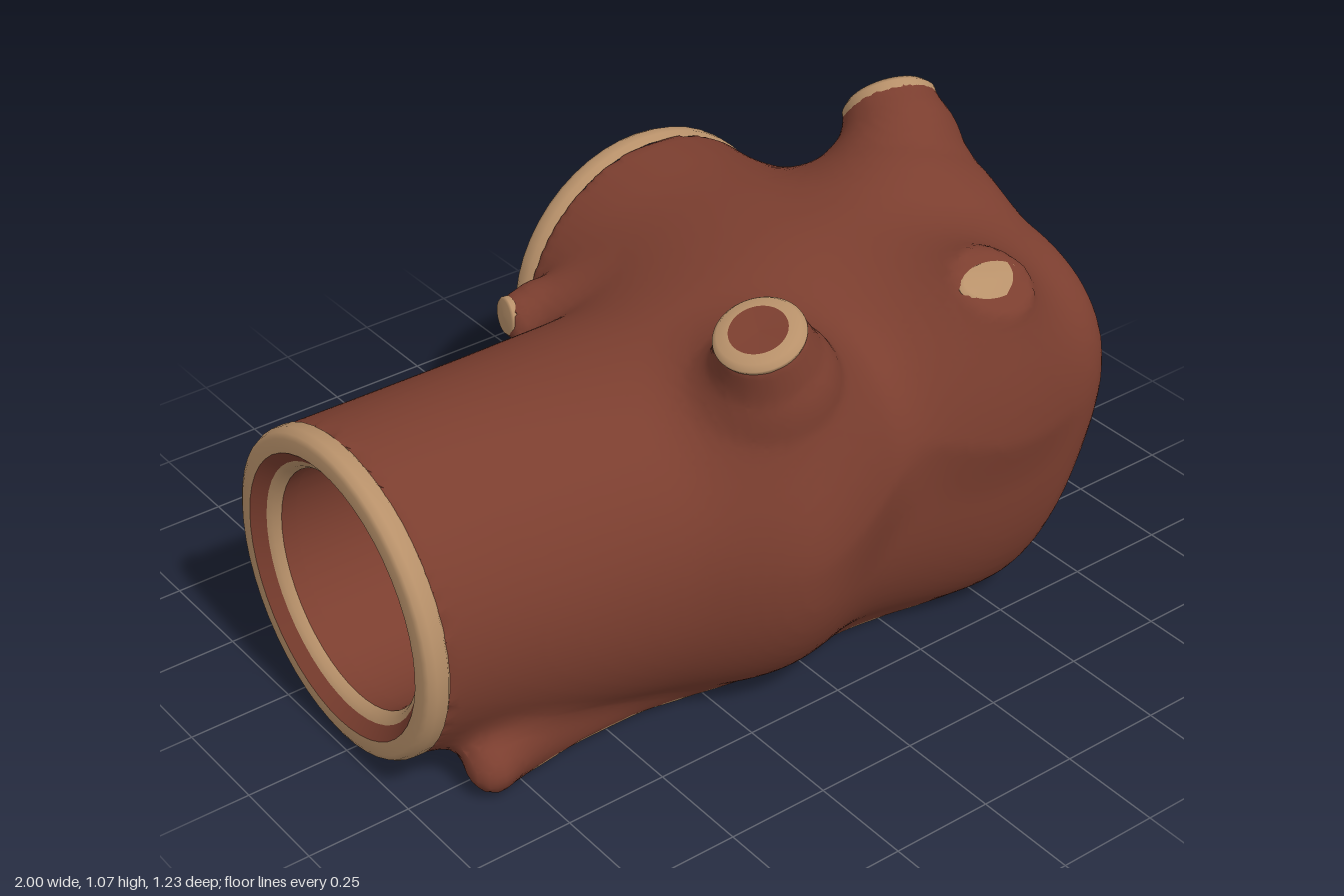
import * as THREE from 'three';
import { toCreasedNormals } from 'three/addons/utils/BufferGeometryUtils.js';

const bark = new THREE.MeshStandardMaterial({ color: 0x7b3e2f });
bark.name = 'bark';
const cutWood = new THREE.MeshStandardMaterial({ color: 0xb8916a });
cutWood.name = 'cutWood';

const FLOOR = 0.003;
const V = (x, y, z) => new THREE.Vector3(x, y, z);

// Smooth minimum and maximum used to blend forms into one another
const smin = (a, b, k) => Math.min(a, b) - (Math.max(k - Math.abs(a - b), 0) ** 2) / (4 * k);
const smax = (a, b, k) => -smin(-a, -b, k);

// Trunk sections: x -> back z, front z, top y, bottom y, squareness
const sections = [
  [-0.96, -0.398, 0.358, 0.795, 0.025, 2],
  [-0.75, -0.39, 0.385, 0.805, 0.0, 2],
  [-0.4, -0.39, 0.48, 0.815, -0.03, 2.1],
  [-0.15, -0.41, 0.6, 0.83, -0.04, 2.1],
  [0.15, -0.41, 0.525, 0.86, -0.05, 2.4],
  [0.45, -0.41, 0.575, 0.88, -0.05, 2.7],
  [0.68, -0.4, 0.555, 0.88, -0.05, 2.7],
];
const spline = new THREE.CubicInterpolant(
  sections.map((s) => s[0]), sections.flatMap((s) => s.slice(1)), 5);

function trunkField(p) {
  const [z0, z1, top, bottom, n] = spline.evaluate(THREE.MathUtils.clamp(p.x, -0.96, 0.68));
  const h = (top - bottom) / 2, w = (z1 - z0) / 2;
  // the front leans out towards the top
  const z = p.z - 0.08 * (p.y - 0.42) * THREE.MathUtils.smoothstep(p.x, -0.7, -0.2) * Math.max(0, p.z) * 2;
  const dy = Math.abs(p.y - (top + bottom) / 2) / h, dz = Math.abs(z - (z0 + z1) / 2) / w;
  const side = ((dy ** n + dz ** n) ** (1 / n) - 1) * Math.min(h, w);
  // closed end, tucked in at the lower front corner
  const wall = p.x - 0.785 + 0.7 * Math.max(0, p.z) * Math.max(0, 0.8 - p.y) ** 2;
  return smax(side, wall, 0.1);
}

// Tapered segment between [x, y, z, radius] points; a sawn one is cut flat at the far end
function segmentField(p, [ax, ay, az, ra], [bx, by, bz, rb], sawn) {
  const dx = bx - ax, dy = by - ay, dz = bz - az;
  const px = p.x - ax, py = p.y - ay, pz = p.z - az;
  const length = Math.hypot(dx, dy, dz), t = (px * dx + py * dy + pz * dz) / length ** 2;
  const k = Math.max(0, sawn ? t : Math.min(t, 1));
  const d = Math.hypot(px - dx * k, py - dy * k, pz - dz * k) - (ra + (rb - ra) * Math.min(k, 1));
  return sawn ? Math.max(d, (t - 1) * length) : d;
}

// Limbs: [x, y, z, radius] path, blend into the log, optional sawn tip
const limbs = [
  { name: 'frontStump', blend: 0.14, tip: { core: 0.66, wrap: 0.06 },
    path: [[-0.04, 0.6, 0.3, 0.24], [-0.105, 0.82, 0.38, 0.14], [-0.162, 0.968, 0.4, 0.099]] },
  { name: 'rearStump', blend: 0.14, tip: { core: 0.52, wrap: 0.25 },
    path: [[0.46, 0.58, 0.1, 0.28], [0.6, 0.79, -0.03, 0.2], [0.7, 0.92, -0.145, 0.135], [0.73, 0.98, -0.225, 0.112]] },
  { name: 'topKnot', blend: 0.14, tip: { core: 0, squash: 0.55, wrap: 0.02 },
    path: [[0.43, 0.7, 0.34, 0.24], [0.45, 0.9, 0.455, 0.09]] },
  { name: 'rearRoot', blend: 0.16, tip: { core: 0.55, wrap: 0.35 },
    path: [[0.55, 0.3, -0.02, 0.25], [0.74, 0.17, -0.27, 0.15], [0.86, 0.115, -0.45, 0.107], [0.9, 0.105, -0.59, 0.097]] },
  { name: 'frontRootlet', blend: 0.1, path: [[-0.55, 0.06, 0.18, 0.08], [-0.82, 0.07, 0.315, 0.055]] },
  { name: 'backRootlet', blend: 0.1, tip: { core: 0.25, wrap: 0.4 },
    path: [[-0.55, 0.06, -0.24, 0.08], [-0.8, 0.065, -0.36, 0.062], [-0.815, 0.065, -0.425, 0.054]] },
  { name: 'backTwig', blend: 0.08, tip: { core: 0, wrap: 0.3 },
    path: [[-0.06, 0.61, -0.34, 0.13], [-0.17, 0.64, -0.415, 0.07], [-0.25, 0.645, -0.43, 0.045]] },
  { name: 'sideBump', blend: 0.1, path: [[0.6, 0.52, -0.28, 0.13], [0.73, 0.56, -0.42, 0.03]] },
  { name: 'frontFoot', blend: 0.1, path: [[-0.77, 0.03, 0.24, 0.03], [0.5, 0.03, 0.28, 0.05]] },
  { name: 'backFoot', blend: 0.1, path: [[-0.77, 0.03, -0.32, 0.035], [0.75, 0.03, -0.36, 0.05]] },
];
const limbField = (p, { path, tip }) => Math.min(...path.slice(1).map((b, i) =>
  segmentField(p, path[i], b, tip && i === path.length - 2)));

// Openings: rim centre, axis pointing out, rim radius, length of the hollow
const openings = [
  { name: 'sideOpening', at: V(-1, 0.41, -0.02), axis: V(-1, 0, 0), radius: 0.385, depth: 1.25 },
  { name: 'rearOpening', at: V(0.25, 0.53, -0.6), axis: V(0, 0, -1), radius: 0.372, depth: 0.55 },
];
const hollows = openings.map(({ at, axis, radius, depth }) => [0.5, -depth].map((s) =>
  [...at.clone().addScaledVector(axis, s).toArray(), radius - 0.1]));

// Solid log: trunk, rear branch and limbs blended, hollows cut away
function logField(p) {
  let d = Math.max(trunkField(p), -0.951 - p.x);
  d = smin(d, segmentField(p, [0.25, 0.51, 0, 0.385], [0.25, 0.53, -0.551, 0.369], true), 0.15);
  for (const limb of limbs) d = smin(d, limbField(p, limb), limb.blend);
  const [side, rear] = hollows.map(([a, b]) => segmentField(p, a, b, false));
  return Math.max(d, -smin(side, rear, 0.06), FLOOR - p.y);
}

// Skin a field with quads on a regular grid; paint() picks each face's material
function skin(field, min, step, [nx, ny, nz], paint) {
  const id = (i, j, k) => (i * ny + j) * nz + k;
  const each = (from, trim, fn) => {
    for (let i = from; i < nx - trim; i++)
      for (let j = from; j < ny - trim; j++)
        for (let k = from; k < nz - trim; k++) fn(i, j, k, id(i, j, k));
  };
  const values = new Float32Array(nx * ny * nz);
  each(0, 0, (i, j, k, n) => { values[n] = field(V(i, j, k).multiply(step).add(min)); });

  const offsets = [id(1, 0, 0), id(0, 1, 0), id(0, 0, 1)];
  const corners = Array.from({ length: 8 }, (_, c) => [c & 1, (c >> 1) & 1, c >> 2]);
  const cellVertex = new Map(), points = [], faces = [[], []];
  each(0, 1, (i, j, k, n) => {
    const v = corners.map(([a, b, c]) => values[n + id(a, b, c)]);
    const sum = V(0, 0, 0);
    let hits = 0;
    for (let c = 0; c < 8; c++) for (let axis = 0; axis < 3; axis++) {
      const e = c | (1 << axis);
      if (e === c || (v[c] < 0) === (v[e] < 0)) continue;
      sum.add(V(...corners[c]).setComponent(axis, v[c] / (v[c] - v[e])));
      hits++;
    }
    if (!hits) return;
    cellVertex.set(n, points.length);
    points.push(sum.divideScalar(hits).add(V(i, j, k)).multiply(step).add(min));
  });

  const addFace = (...ids) => {
    const tri = new THREE.Triangle(...ids.map((v) => points[v]));
    faces[paint(tri.getMidpoint(V(0, 0, 0)), tri.getNormal(V(0, 0, 0)))].push(...ids);
  };
  each(1, 1, (i, j, k, n) => offsets.forEach((offset, axis) => {
    const inside = values[n] < 0;
    if (inside === (values[n + offset] < 0)) return;
    const u = offsets[(axis + 1) % 3], w = offsets[(axis + 2) % 3];
    const quad = [n - u - w, n - w, n, n - u].map((c) => cellVertex.get(c));
    if (!inside) quad.reverse();
    addFace(quad[0], quad[1], quad[2]);
    addFace(quad[0], quad[2], quad[3]);
  }));
  const g = new THREE.BufferGeometry().setFromPoints(points);
  g.setIndex(faces.flat());
  g.addGroup(0, faces[0].length, 0);
  g.addGroup(faces[0].length, faces[1].length, 1);
  return toCreasedNormals(g, 0.9);
}

// Turned parts around an axis: each is [name, material, radius/height pairs]
function turned(name, at, axis, parts) {
  const g = new THREE.Group();
  g.name = name;
  g.position.copy(at);
  g.quaternion.setFromUnitVectors(V(0, 1, 0), axis);
  for (const [part, material, profile] of parts) {
    const points = profile.map(([r, y]) => new THREE.Vector2(r, y));
    const mesh = new THREE.Mesh(new THREE.LatheGeometry(points, 48), material);
    mesh.name = part;
    g.add(mesh);
  }
  return g;
}

// Sawn rim, bevel and pale growth ring leading into the hollow
const rim = ({ name, at, axis, radius: r }) => turned(name, at, axis, [
  ['sawnRim', cutWood, [[r - 0.012, -0.062], [r + 0.001, -0.05], [r, -0.022], [r - 0.008, -0.006], [r - 0.02, 0], [r - 0.052, 0]]],
  ['innerBevel', bark, [[r - 0.052, 0], [r - 0.08, -0.026]]],
  ['growthRing', cutWood, [[r - 0.08, -0.026], [r - 0.094, -0.034], [r - 0.104, -0.05]]],
  ['hollowLip', bark, [[r - 0.104, -0.05], [r - 0.1, -0.09]]],
]);

// Pale sawn cap on a limb, with a bark-coloured heart
function sawnTip({ name, path, tip: { core, wrap, squash = 1 } }) {
  const [before, end] = path.slice(-2).map((q) => V(...q));
  const r = path.at(-1)[3];
  const parts = [['sawnEdge', cutWood, [[1, -wrap - 0.1], [1.04, -wrap], [1.03, -0.02], [0.92, 0.1], [core, 0.13]]]];
  if (core > 0) parts.push(['heartwood', bark, [[core, 0.13], [0, 0.09]]]);
  const g = turned(name + 'Tip', end, end.clone().sub(before).normalize(), parts);
  g.scale.set(r, r, r * squash);
  return g;
}

export function createModel() {
  const log = new THREE.Group();
  log.name = 'hollowLog';
  // pale edge where the log meets the ground
  const paint = (centre, normal) => (centre.y < 0.02 && normal.y > -0.93 ? 1 : 0);
  const body = new THREE.Mesh(
    skin(logField, V(-1.03, -0.015, -0.67), V(0.02, 0.015, 0.02), [104, 78, 69], paint), [bark, cutWood]);
  body.name = 'logBody';
  log.add(body, ...openings.map(rim), ...limbs.filter((limb) => limb.tip).map(sawnTip));
  return log;
}
